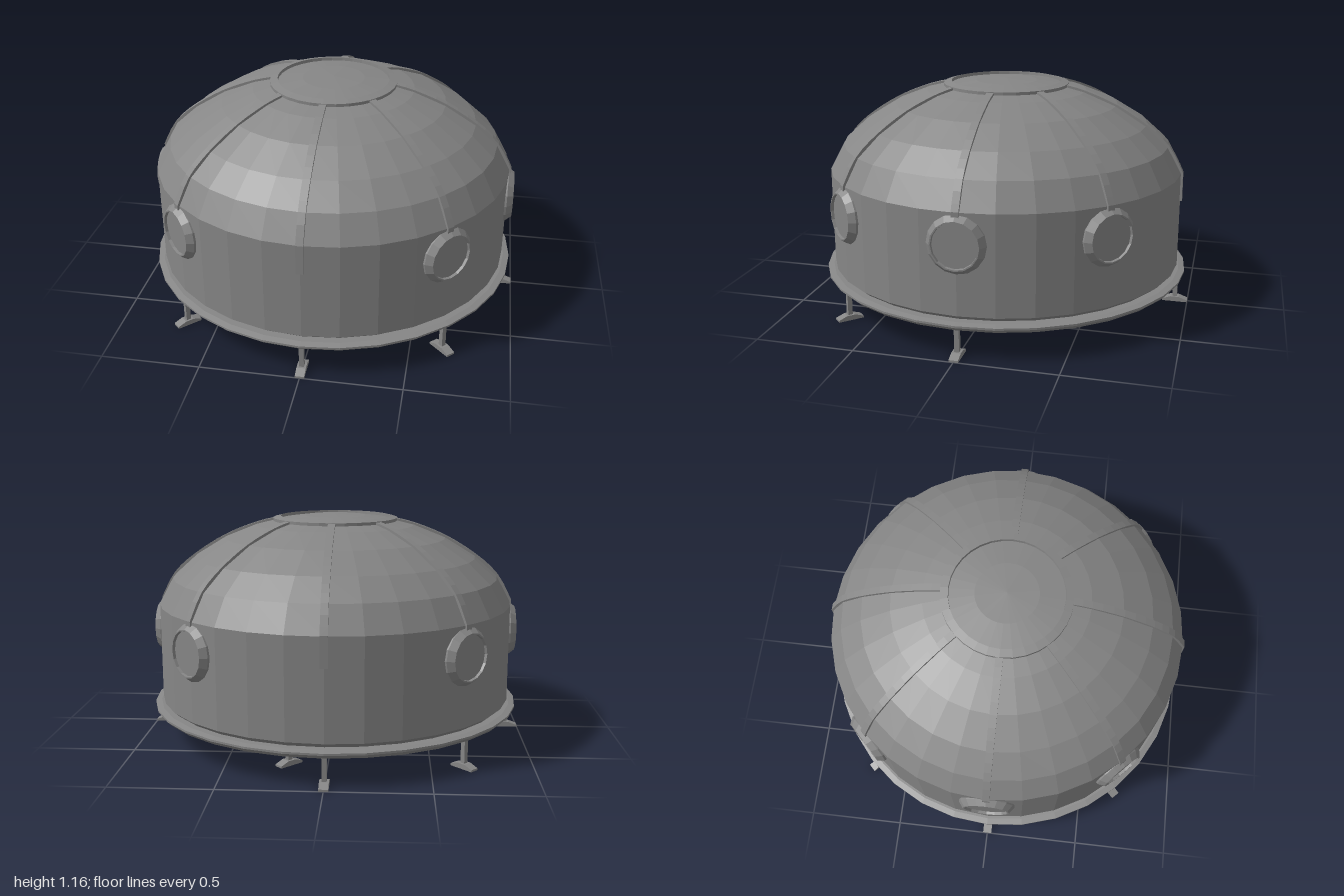
import * as THREE from 'three';

const SIDES = 32;
const R = 0.935; // wall radius

// Roof section as [radius, height], from the wall top to the crown
const ROOF = [
  [R, 0.706], [0.862, 0.84], [0.745, 0.945], [0.585, 1.043], [0.42, 1.109], [0.3, 1.138],
];

const material = new THREE.MeshStandardMaterial({ color: 0x868686, flatShading: true });

function mesh(name, geometry) {
  const m = new THREE.Mesh(geometry, material);
  m.name = name;
  return m;
}

const vectors = points => points.map(p => new THREE.Vector2(...p));

// Lathe from [radius, height] pairs listed bottom to top along the outside
function lathe(name, points, sides = SIDES) {
  return mesh(name, new THREE.LatheGeometry(vectors(points), sides));
}

// Extrude a section drawn in (radius, height), centred on its thickness
function slab(name, points, width) {
  const g = new THREE.ExtrudeGeometry(new THREE.Shape(vectors(points)), { depth: width, bevelEnabled: false });
  g.translate(0, 0, -width / 2);
  return mesh(name, g);
}

// Curved strip lying just proud of the roof and the upper wall
function makeRib() {
  const curve = new THREE.SplineCurve(vectors(ROOF));
  const outer = [[R + 0.01, 0.56]], inner = [[R - 0.03, 0.56]];
  for (let i = 0; i <= 15; i++) {
    const p = curve.getPoint(i / 15), t = curve.getTangent(i / 15);
    outer.push([p.x + t.y * 0.01, p.y - t.x * 0.01]);
    inner.push([p.x - t.y * 0.03, p.y + t.x * 0.03]);
  }
  return slab('rib', [...outer, ...inner.reverse()], 0.037);
}

// Round window with a chamfered frame and slightly sunken pane, facing +x
function makePorthole() {
  const p = lathe('porthole', [
    [0.144, 0.85], [0.144, 0.932], [0.12, 0.964], [0.113, 0.964], [0.111, 0.95], [0, 0.95],
  ], 16);
  p.geometry.rotateZ(-Math.PI / 2);
  p.position.y = 0.553;
  return p;
}

// Thin post on a tapered foot
function makeLeg() {
  const leg = new THREE.Group();
  leg.name = 'leg';
  const post = mesh('post', new THREE.BoxGeometry(0.024, 0.14, 0.024));
  post.position.y = 0.09;
  leg.add(post, slab('foot', [
    [-0.066, 0], [0.066, 0], [0.066, 0.01], [0.022, 0.026], [-0.022, 0.026], [-0.066, 0.01],
  ], 0.046));
  return leg;
}

export function createModel() {
  const model = new THREE.Group();
  model.name = 'domeHabitat';

  // Dome shell: floor, straight wall with a chamfered foot, then the curved roof
  model.add(lathe('domeShell', [
    [0, 0.155], [0.905, 0.155], [0.905, 0.178], [R, 0.203], ...ROOF, [0.16, 1.157], [0, 1.164],
  ]));

  // Base flange with a flat lip below
  model.add(lathe('baseFlange', [
    [0.895, 0.16], [0.895, 0.142], [0.955, 0.142], [0.976, 0.162], [0.976, 0.172], [0.945, 0.179], [0.89, 0.179],
  ]));

  // Ring around the crown
  model.add(lathe('crownRing', [
    [0.33, 1.115], [0.33, 1.146], [0.29, 1.156], [0.288, 1.13],
  ]));

  for (let i = 0; i < 8; i++) {
    const a = i * Math.PI / 4;
    const spoke = new THREE.Group();
    spoke.name = 'spoke';
    spoke.rotation.y = a;
    spoke.add(makeRib());
    // no windows on the front and back axes
    if (i % 4 !== 2) spoke.add(makePorthole());
    model.add(spoke);

    // one leg stands inward from its place on the ring
    const leg = makeLeg();
    leg.rotation.y = a;
    leg.position.set(0.934 * Math.cos(a), 0, -0.934 * Math.sin(a));
    if (i === 1) leg.position.x = 0.19;
    model.add(leg);
  }
  return model;
}
